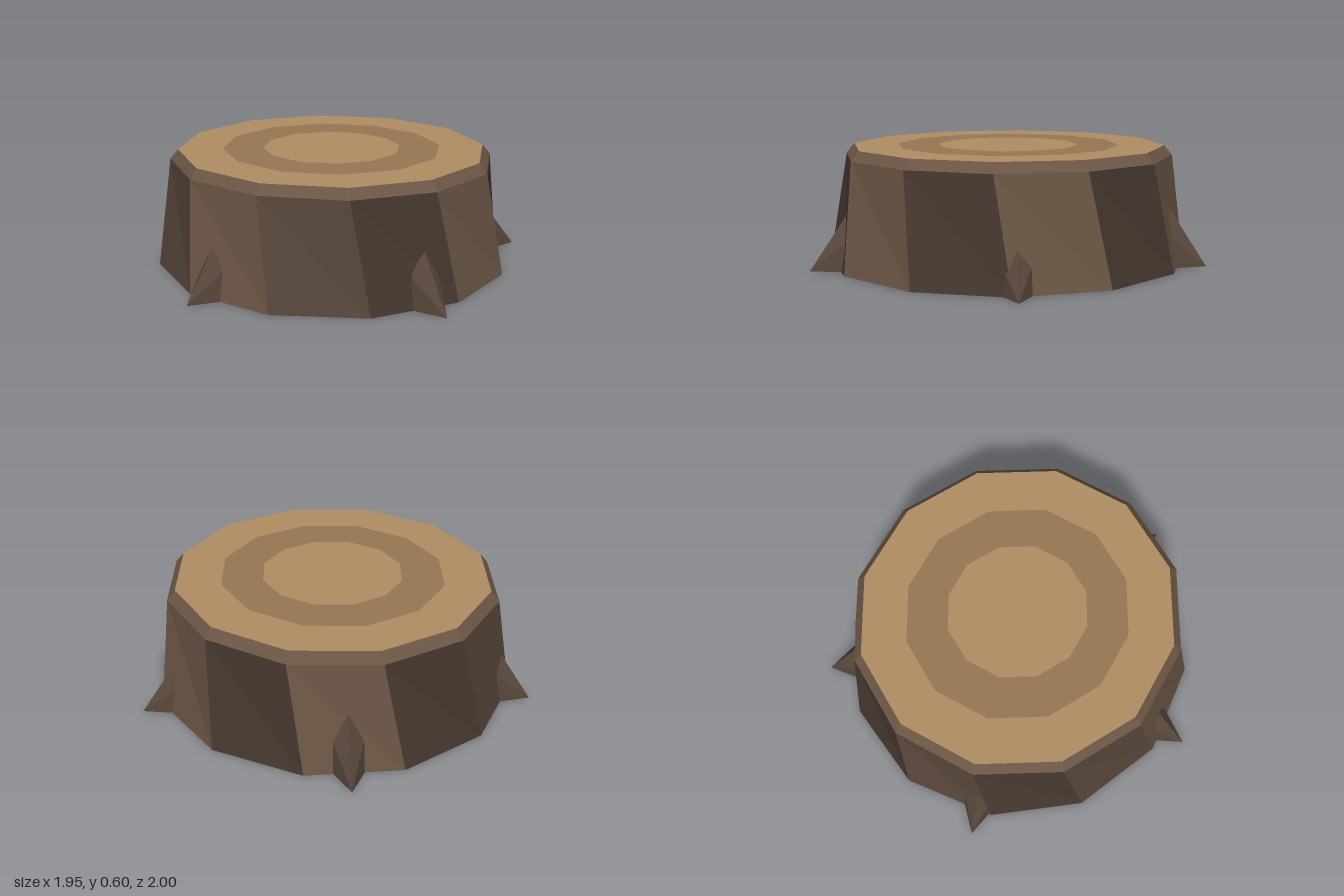
import * as THREE from 'three';

const SIDES = 12;
const CX = 0.05, CZ = -0.045; // trunk axis
const TWIST = -0.1;           // upper rings turn slightly against the base

const mat = (color) => new THREE.MeshStandardMaterial({ color, flatShading: true });
const bark = { light: mat(0x6b5645), mid: mat(0x57463a), dark: mat(0x46382f) };
const wood = mat(0xb08d63);
const darkWood = mat(0x957753);

// Twelve-sided, slightly oval cross-section of the trunk
function ring(rx, rz, y, twist = TWIST) {
  return Array.from({ length: SIDES }, (_, k) => {
    const a = (k / SIDES) * Math.PI * 2 + twist;
    return new THREE.Vector3(CX + rx * Math.sin(a), y, CZ + rz * Math.cos(a));
  });
}

function meshFrom(name, triangles, material) {
  const g = new THREE.BufferGeometry().setFromPoints(triangles.flat());
  g.computeVertexNormals();
  const m = new THREE.Mesh(g, material);
  m.name = name;
  return m;
}

// Two triangles joining one side of an upper (or inner) and a lower (or outer) ring
function facet(upper, lower, k) {
  const n = (k + 1) % SIDES;
  return [[upper[k], lower[k], lower[n]], [upper[k], lower[n], upper[n]]];
}

const strip = (upper, lower) => upper.flatMap((_, k) => facet(upper, lower, k));

function fan(points, up) {
  const c = new THREE.Vector3(CX, points[0].y, CZ);
  return points.map((p, k) => {
    const q = points[(k + 1) % SIDES];
    return up ? [c, p, q] : [c, q, p];
  });
}

// Pointed root spur: five-sided spike with its tip on the ground, its base inside the trunk
function rootSpur(x, z, height) {
  const out = new THREE.Vector3(x - CX, 0, z - CZ).normalize();
  const side = new THREE.Vector3(out.z, 0, -out.x);
  const tip = new THREE.Vector3(x, 0, z);
  const w = 0.088;
  const base = [[-w, 0, 0.17], [w, 0, 0.17], [w, height * 0.62, 0.21], [0, height * 1.03, 0.21], [-w, height * 0.62, 0.21]]
    .map(([s, y, depth]) => {
      const p = tip.clone().addScaledVector(side, s).addScaledVector(out, -depth);
      p.y = y;
      return p;
    });
  const tris = base.map((p, i) => [tip, p, base[(i + 1) % base.length]]);
  for (let i = 1; i < 4; i++) tris.push([base[0], base[i + 1], base[i]]);
  return meshFrom('rootSpur', tris, bark.mid);
}

export function createModel() {
  const model = new THREE.Group();
  model.name = 'treeStump';

  const foot = ring(0.92, 0.943, 0, 0);
  const shoulder = ring(0.843, 0.863, 0.55);
  const rim = ring(0.803, 0.82, 0.6);
  const ringOuter = ring(0.57, 0.585, 0.6);
  const ringInner = ring(0.36, 0.366, 0.6);

  // Bark panels in varied browns
  const tones = 'LDLDLDMDMLMD';
  const groups = { L: 'light', D: 'dark', M: 'mid' };
  const trunk = new THREE.Group();
  trunk.name = 'trunk';
  for (const [key, tone] of Object.entries(groups)) {
    const tris = [...tones].flatMap((t, k) => (t === key ? facet(shoulder, foot, k) : []));
    trunk.add(meshFrom(tone + 'Bark', tris, bark[tone]));
  }
  trunk.add(meshFrom('bevelledRim', strip(rim, shoulder), bark.light));
  trunk.add(meshFrom('underside', fan(foot, false), bark.dark));
  model.add(trunk);

  // Cut top with its growth ring
  const top = new THREE.Group();
  top.name = 'cutTop';
  top.add(
    meshFrom('sapwood', strip(ringOuter, rim), wood),
    meshFrom('growthRing', strip(ringInner, ringOuter), darkWood),
    meshFrom('heartwood', fan(ringInner, true), wood),
  );
  model.add(top);

  // Root spurs around the foot
  const roots = new THREE.Group();
  roots.name = 'roots';
  const spurs = [[-0.14, 1, 0.29], [0.955, 0.46, 0.27], [0.8, -0.77, 0.31], [-0.39, -1, 0.3], [-0.975, 0.085, 0.29]];
  for (const [x, z, h] of spurs) roots.add(rootSpur(x, z, h));
  model.add(roots);

  return model;
}
